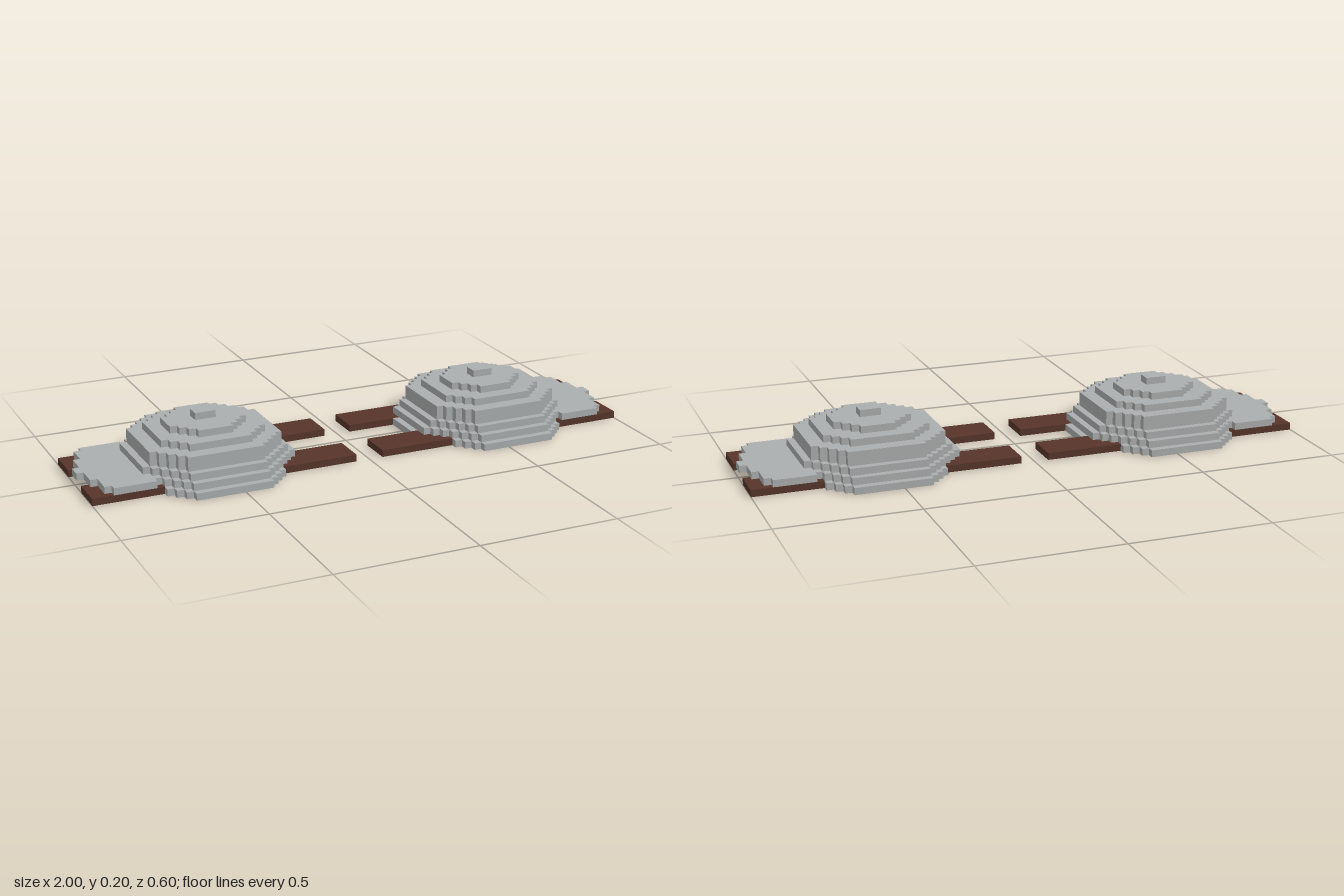
import * as THREE from 'three';

const U = 0.025; // block size

export function createModel() {
  const stone = new THREE.MeshStandardMaterial({ color: 0xabaeae });
  stone.name = 'lightGrey';
  const wood = new THREE.MeshStandardMaterial({ color: 0x57352a });
  wood.name = 'darkBrown';

  // Stepped slab: rows a..b along z, each half(row) blocks wide to either side
  function slab(name, a, b, half, y0, y1) {
    const right = [], left = [];
    for (let r = a; r < b; r++) {
      const h = half(Math.abs(r + 0.5)) * U;
      for (const z of [r, r + 1]) {
        right.push(new THREE.Vector2(h, z * U));
        left.unshift(new THREE.Vector2(-h, z * U));
      }
    }
    // drop repeated and collinear points on the straight runs
    const all = [...right, ...left];
    const pts = all.filter((p, i) => {
      const q = all[(i + all.length - 1) % all.length], n = all[(i + 1) % all.length];
      return !(Math.abs(q.x - p.x) < 1e-6 && Math.abs(n.x - p.x) < 1e-6);
    });
    const geo = new THREE.ExtrudeGeometry(new THREE.Shape(pts), { depth: (y1 - y0) * U, bevelEnabled: false });
    geo.rotateX(-Math.PI / 2);
    geo.translate(0, y0 * U, 0);
    const mesh = new THREE.Mesh(geo, stone);
    mesh.name = name;
    return mesh;
  }

  // Octagonal outline with 45 degree stepped corners
  const octagon = (xMax, sum) => (z) => Math.min(xMax, sum - z) + 0.5;

  function dome() {
    const g = new THREE.Group();
    g.name = 'dome';
    // bottom layer is split where the planks pass through
    const base = octagon(12, 16.5);
    g.add(slab('baseMiddle', -3, 3, base, 0, 1));
    g.add(slab('baseFront', -12, -8, base, 0, 1));
    g.add(slab('baseBack', 8, 12, base, 0, 1));
    // [half depth, corner sum, bottom, top] in blocks
    const layers = [
      [11, 15.5, 1, 2], [10, 14.5, 2, 3], [9, 13.5, 3, 5],
      [7, 10.5, 5, 6], [5, 6.5, 6, 7], [1, 1.5, 7, 8],
    ];
    for (const [r, sum, y0, y1] of layers) g.add(slab('domeLayer', -r, r, octagon(r, sum), y0, y1));
    return g;
  }

  const model = new THREE.Group();
  model.name = 'domesOnPlanks';
  for (const side of [-1, 1]) {
    const half = new THREE.Group();
    half.name = side > 0 ? 'leftHalf' : 'rightHalf';

    const d = dome();
    d.position.x = side * 0.5375;
    half.add(d);

    // rounded ledge at the outer end, resting on the planks
    const ledge = slab('ledge', -8, 8, (z) => (z < 1 ? 6 : z < 4 ? 5 : z < 7 ? 4 : 3), 1, 2);
    ledge.position.x = side * 0.85;
    half.add(ledge);

    // pair of planks running under the dome
    for (const z of [-1, 1]) {
      const plank = new THREE.Mesh(new THREE.BoxGeometry(0.95, U, 0.125), wood);
      plank.name = 'plank';
      plank.position.set(side * 0.525, U / 2, z * 0.1375);
      half.add(plank);
    }
    model.add(half);
  }
  return model;
}
